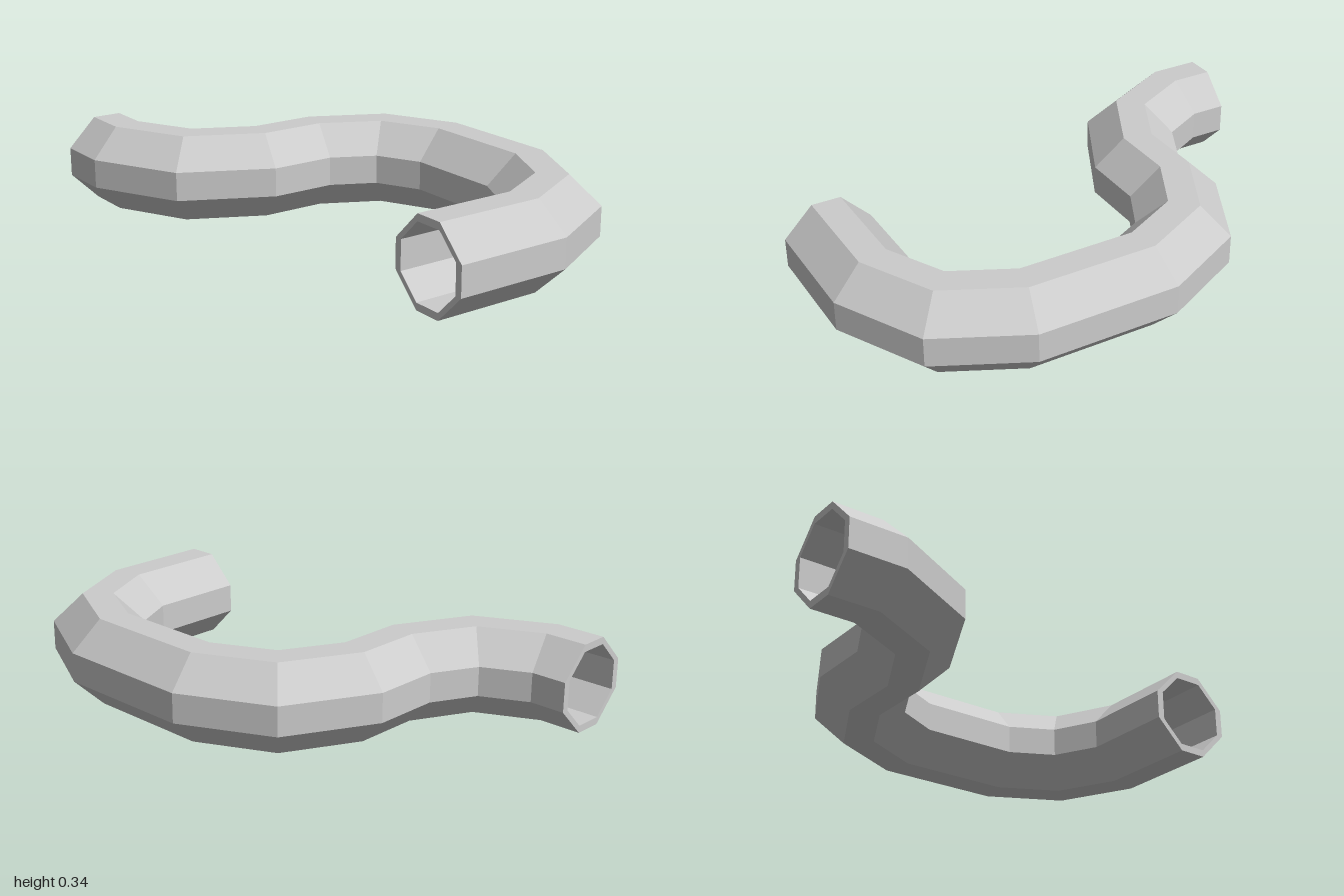
import * as THREE from 'three';

// Centreline of the pipe on the ground plane, as (x, z)
const path = [
  [-1, 0.513], [-0.82, 0.513], [-0.56, 0.383], [-0.43, 0.125], [-0.43, -0.135],
  [-0.3, -0.39], [-0.04, -0.518], [0.44, -0.518], [0.698, -0.39], [0.828, -0.135], [0.828, 0.284],
].map(([x, z]) => new THREE.Vector2(x, z));

const RADIUS = 0.171, WALL = 0.028, FLAT = 0.057;

// Eight-sided section as (sideways, up) pairs
const section = (r) => [
  [r, -FLAT], [r, FLAT], [FLAT, r], [-FLAT, r],
  [-r, FLAT], [-r, -FLAT], [-FLAT, -r], [FLAT, -r],
];

// Sideways direction at each path point, mitred at the bends
function sideAt(i) {
  const normal = (k) => {
    const t = path[k + 1].clone().sub(path[k]).normalize();
    return new THREE.Vector2(-t.y, t.x);
  };
  const a = normal(Math.max(i - 1, 0));
  const b = normal(Math.min(i, path.length - 2));
  return a.clone().add(b).divideScalar(1 + a.dot(b));
}

function makeRings(r) {
  return path.map((p, i) => {
    const side = sideAt(i);
    return section(r).map(([s, h]) => [p.x + side.x * s, RADIUS + h, p.y + side.y * s]);
  });
}

// Joins two matching rings with a band of quads
function bridge(from, to) {
  const out = [];
  for (let j = 0; j < from.length; j++) {
    const k = (j + 1) % from.length;
    out.push(...from[j], ...to[j], ...to[k], ...from[j], ...to[k], ...from[k]);
  }
  return out;
}

function makeMesh(name, positions, material) {
  const geometry = new THREE.BufferGeometry();
  geometry.setAttribute('position', new THREE.Float32BufferAttribute(positions, 3));
  geometry.computeVertexNormals();
  const mesh = new THREE.Mesh(geometry, material);
  mesh.name = name;
  return mesh;
}

export function createModel() {
  const group = new THREE.Group();
  group.name = 'bentPipe';
  const material = new THREE.MeshStandardMaterial({ color: 0xcccccc, flatShading: true });

  const outer = makeRings(RADIUS);
  const inner = makeRings(RADIUS - WALL);
  const last = path.length - 1;
  const outerWall = [], innerWall = [];
  for (let i = 0; i < last; i++) {
    outerWall.push(...bridge(outer[i], outer[i + 1]));
    innerWall.push(...bridge(inner[i + 1], inner[i]));
  }

  group.add(
    makeMesh('outerWall', outerWall, material),
    makeMesh('innerWall', innerWall, material),
    // Flat rims at the two open ends
    makeMesh('startRim', bridge(inner[0], outer[0]), material),
    makeMesh('endRim', bridge(outer[last], inner[last]), material),
  );
  return group;
}
